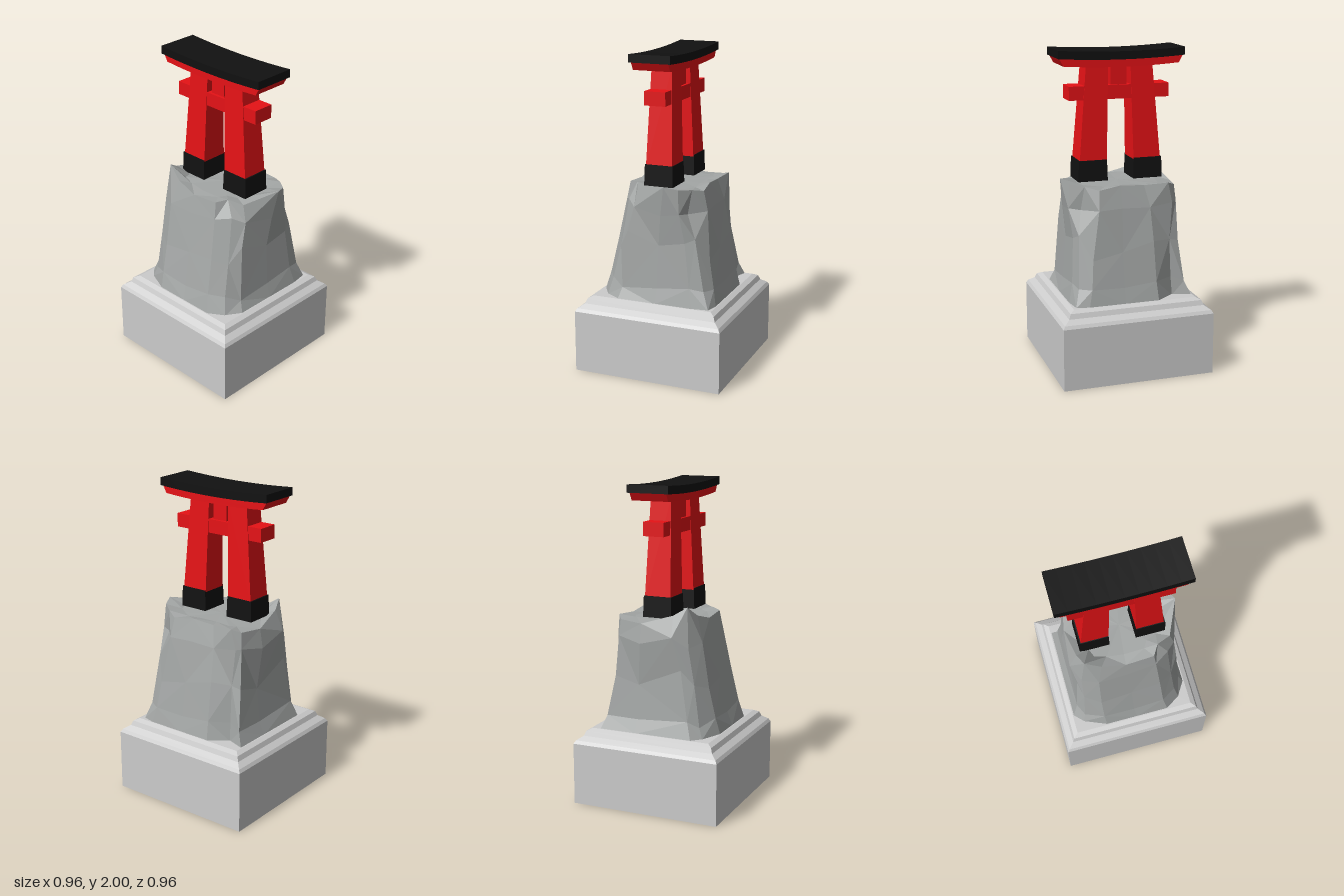
import * as THREE from 'three';

const material = (color) => new THREE.MeshStandardMaterial({ color, flatShading: true });

// Deterministic noise in -1..1
let seed = 7;
function noise() {
  seed = (seed * 16807) % 2147483647;
  return (seed / 2147483647) * 2 - 1;
}

// Closed faceted solid through rings of [x, y, z], listed bottom to top,
// each ring counter-clockwise when seen from above
function loft(rings) {
  const pos = [];
  const tri = (a, b, c) => pos.push(...a, ...b, ...c);
  const middle = (ring) => [0, 1, 2].map((k) => ring.reduce((s, p) => s + p[k], 0) / ring.length);
  const n = rings[0].length;
  const low = middle(rings[0]);
  const high = middle(rings[rings.length - 1]);
  for (let i = 0; i < n; i++) {
    const j = (i + 1) % n;
    for (let r = 0; r < rings.length - 1; r++) {
      const [a, b, c, d] = [rings[r][i], rings[r][j], rings[r + 1][j], rings[r + 1][i]];
      if ((i + r) % 2) { tri(a, b, c); tri(a, c, d); }
      else { tri(a, b, d); tri(b, c, d); }
    }
    tri(rings[0][j], rings[0][i], low);
    tri(rings[rings.length - 1][i], rings[rings.length - 1][j], high);
  }
  const geo = new THREE.BufferGeometry();
  geo.setAttribute('position', new THREE.Float32BufferAttribute(pos, 3));
  geo.computeVertexNormals();
  return geo;
}

// Rectangular ring: centre x, height, half width, half depth
const rect = (cx, y, hw, hd = hw) =>
  [[cx - hw, y, hd], [cx + hw, y, hd], [cx + hw, y, -hd], [cx - hw, y, -hd]];

// Beam whose ends sweep upward; the ends may slant outward
function curvedBeam(bottomHalf, topHalf, bottomY, topY, lift, depth) {
  const steps = 10;
  const shape = new THREE.Shape();
  for (let i = 0; i <= steps; i++) {
    const t = (i / steps) * 2 - 1;
    if (i === 0) shape.moveTo(t * bottomHalf, bottomY + lift * t * t);
    else shape.lineTo(t * bottomHalf, bottomY + lift * t * t);
  }
  for (let i = steps; i >= 0; i--) {
    const t = (i / steps) * 2 - 1;
    shape.lineTo(t * topHalf, topY + lift * t * t);
  }
  const geo = new THREE.ExtrudeGeometry(shape, { depth, bevelEnabled: false });
  return geo.translate(0, 0, -depth / 2);
}

// Rock outlines as [x, z], starting at the front of the -x side
const FOOT = [[-.385, .27], [-.33, .325], [-.185, .385], [.02, .385], [.23, .385], [.325, .325],
  [.385, .23], [.385, -.02], [.385, -.26], [.37, -.365], [.29, -.385], [.06, -.385],
  [-.155, -.385], [-.27, -.3], [-.385, -.34], [-.385, -.1]];
const WAIST = [[-.325, .18], [-.3, .26], [-.2, .315], [0, .31], [.19, .305], [.28, .25],
  [.33, .18], [.34, -.03], [.34, -.2], [.32, -.26], [.25, -.33], [.06, -.325],
  [-.14, -.32], [-.26, -.27], [-.32, -.26], [-.325, -.1]];
const SHOULDER = [[-.35, .13], [-.3, .22], [-.2, .27], [-.02, .265], [.17, .255], [.26, .2],
  [.32, .14], [.36, -.05], [.36, -.17], [.29, -.2], [.2, -.295], [.05, -.285],
  [-.13, -.28], [-.28, -.26], [-.31, -.24], [-.35, -.08]];
// Uneven top rim as [x, y, z]
const RIM = [[-.3, 1.22, .12], [-.27, 1.27, .2], [-.17, 1.205, .225], [-.02, 1.165, .24],
  [.16, 1.18, .235], [.2, 1.19, .17], [.29, 1.17, .13], [.385, 1.22, -.08],
  [.35, 1.2, -.16], [.27, 1.19, -.22], [.19, 1.17, -.265], [.05, 1.19, -.25],
  [-.1, 1.18, -.245], [-.25, 1.19, -.265], [-.3, 1.17, -.23], [-.33, 1.16, -.08]];

function rockGeometry() {
  const ring = (outline, y, wobble) => outline.map(([x, z]) => [x, y + noise() * wobble, z]);
  const flare = FOOT.map(([x, z], i) =>
    [THREE.MathUtils.lerp(x, WAIST[i][0], 0.6), THREE.MathUtils.lerp(z, WAIST[i][1], 0.4)]);
  const inner = RIM.map(([x, y, z]) => [x * 0.72, 1.175 + (y - 1.18) * 0.15, z * 0.72]);
  return loft([ring(FOOT, 0.475, 0), ring(flare, 0.57, 0.03), ring(WAIST, 0.83, 0.09),
    ring(SHOULDER, 1.06, 0.04), RIM, inner]);
}

export function createModel() {
  const model = new THREE.Group();
  const stone = material(0xcccccc);
  const rockGrey = material(0xa3a6a5);
  const red = material(0xe61216);
  const black = material(0x111111);
  const add = (name, geo, mat, parent = model) => {
    const mesh = new THREE.Mesh(geo, mat);
    mesh.name = name;
    parent.add(mesh);
    return mesh;
  };

  // Stepped square plinth
  const steps = [[0, .48], [.39, .48], [.41, .468], [.435, .432], [.465, .42], [.48, .39]];
  add('plinth', loft(steps.map(([y, h]) => rect(0, y, h))), stone);

  // Craggy rock
  add('rock', rockGeometry(), rockGrey);

  // Gate standing on the rock
  const gate = new THREE.Group();
  gate.name = 'gate';
  model.add(gate);
  for (const [side, s] of [['left', 1], ['right', -1]]) {
    add(side + 'PillarFoot', loft([rect(s * .177, 1.19, .094, .094), rect(s * .177, 1.32, .09, .09)]), black, gate);
    add(side + 'Pillar', loft([rect(s * .174, 1.3, .087, .086), rect(s * .141, 1.91, .07, .066)]), red, gate);
  }
  add('tieBeam', new THREE.BoxGeometry(.64, .085, .136).translate(0, 1.733, 0), red, gate);
  add('centreStrut', new THREE.BoxGeometry(.1, .14, .1).translate(0, 1.835, 0), red, gate);
  add('lintel', curvedBeam(.365, .392, 1.89, 1.938, .014, .236), red, gate);
  add('roofBeam', curvedBeam(.4, .4, 1.936, 1.985, .015, .264), black, gate);

  return model;
}
